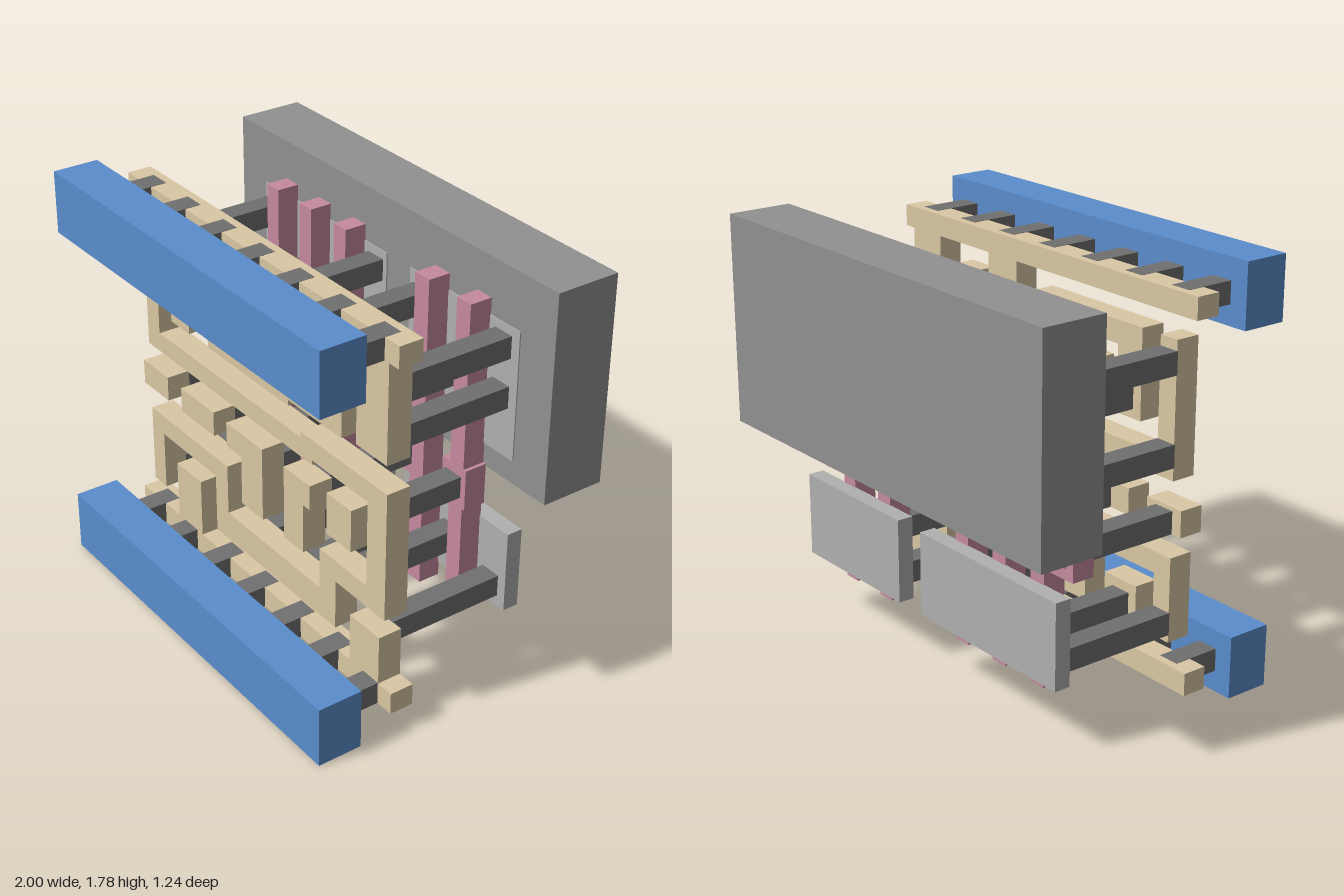
import * as THREE from 'three';

const mat = (color) => new THREE.MeshStandardMaterial({ color, flatShading: true });

export function createModel() {
  const root = new THREE.Group();
  const blue = mat(0x5a8dcd), tan = mat(0xdbc8a4), pink = mat(0xc58a9f);
  const dark = mat(0x707070), grey = mat(0x919191), pale = mat(0xb0b0b0);

  const layer = (name) => {
    const g = new THREE.Group();
    g.name = name;
    root.add(g);
    return g;
  };

  // Box given by its limits on each axis
  function block(parent, name, material, x0, x1, y0, y1, z0, z1) {
    const m = new THREE.Mesh(new THREE.BoxGeometry(x1 - x0, y1 - y0, z1 - z0), material);
    m.position.set((x0 + x1) / 2, (y0 + y1) / 2, (z0 + z1) / 2);
    m.name = name;
    parent.add(m);
  }

  // Flat outline in x and y, extruded from z0 to z1
  function plate(parent, name, material, outline, z0, z1) {
    const shape = new THREE.Shape(outline.map(([x, y]) => new THREE.Vector2(x, y)));
    const geo = new THREE.ExtrudeGeometry(shape, { depth: z1 - z0, bevelEnabled: false });
    geo.translate(0, 0, z0);
    const m = new THREE.Mesh(geo, material);
    m.name = name;
    parent.add(m);
  }

  // Back slab
  block(root, 'backSlab', grey, -1, 1, 0.86, 1.75, -0.62, -0.34);

  // Thin active plates: upper pair set in the slab, lower pair free
  const active = layer('activePlates');
  for (const [x0, x1] of [[-0.825, 0.015], [0.165, 0.815]]) {
    block(active, 'upperPlate', pale, x0, x1, 0.96, 1.515, -0.405, -0.335);
    block(active, 'lowerPlate', pale, x0, x1, 0.265, 0.625, -0.405, -0.335);
  }

  // Vertical gate strips, each with a wider pad: strip x0, x1, pad x0, x1
  const gates = layer('gateStrips');
  const strips = [
    [-0.675, -0.595, -0.84, -0.595], [-0.445, -0.365, -0.47, -0.335],
    [-0.21, -0.13, -0.21, -0.105], [0.315, 0.4, 0.24, 0.4], [0.565, 0.645, 0.52, 0.66],
  ];
  for (const [a, b, p, q] of strips) {
    plate(gates, 'gateStrip', pink, [
      [a, 0.2], [b, 0.2], [b, 0.69], [q, 0.69], [q, 0.87], [b, 0.87],
      [b, 1.585], [a, 1.585], [a, 0.87], [p, 0.87], [p, 0.69], [a, 0.69],
    ], -0.339, -0.24);
  }

  // Contact bars from the wiring back to the gates and plates
  const contacts = layer('contactBars');
  const bar = (x, y, z0) =>
    block(contacts, 'contactBar', dark, x - 0.047, x + 0.047, y - 0.047, y + 0.047, z0, 0.182);
  for (const x of [-0.755, -0.405, -0.13, 0.28, 0.585]) bar(x, 0.783, -0.341);
  const plateContacts = [
    [-0.755, 1.415], [-0.755, 1.05], [-0.52, 1.22], [-0.29, 1.22], [-0.055, 1.433],
    [0.235, 1.415], [0.475, 1.22], [0.725, 1.433], [0.725, 1.22],
    [-0.755, 0.36], [-0.52, 0.36], [-0.055, 0.36],
    [0.235, 0.37], [0.475, 0.448], [0.725, 0.36],
  ];
  for (const [x, y] of plateContacts) bar(x, y, -0.36);

  // Wiring layer
  const wiring = layer('wiring');
  const wire = (name, outline) => plate(wiring, name, tan, outline, 0.18, 0.285);
  wire('topStrap', [
    [-0.9, 1.69], [-0.9, 1.6], [0.145, 1.6], [0.145, 1.365], [0.325, 1.365], [0.325, 1.6],
    [0.655, 1.6], [0.655, 1.18], [0.84, 1.18], [0.84, 1.6], [0.895, 1.6], [0.895, 1.69],
  ]);
  wire('bottomStrap', [
    [-0.9, 0.09], [0.895, 0.09], [0.895, 0.185], [0.815, 0.185], [0.815, 0.4], [0.63, 0.4],
    [0.63, 0.185], [-0.425, 0.185], [-0.425, 0.45], [-0.61, 0.45], [-0.61, 0.185], [-0.9, 0.185],
  ]);
  wire('longWire', [
    [-0.8, 1.505], [-0.8, 0.95], [0.38, 0.95], [0.38, 0.97], [0.73, 0.97], [0.73, 0.595],
    [0.43, 0.595], [0.43, 0.41], [-0.215, 0.41], [-0.215, 0.635], [-0.8, 0.635], [-0.8, 0.28],
    [-0.71, 0.28], [-0.71, 0.545], [-0.305, 0.545], [-0.305, 0.28], [0.535, 0.28], [0.535, 0.5],
    [0.845, 0.5], [0.845, 1.06], [0.305, 1.06], [0.305, 1.035], [-0.71, 1.035], [-0.71, 1.505],
  ]);
  wire('upperHook', [
    [-0.61, 1.505], [-0.61, 1.135], [-0.475, 1.135], [-0.475, 1.41], [-0.145, 1.41],
    [-0.145, 1.39], [0.04, 1.39], [0.04, 1.505],
  ]);
  wire('innerHook', [
    [-0.335, 1.315], [-0.335, 1.135], [0.225, 1.135], [0.225, 1.16], [0.565, 1.16],
    [0.565, 1.5], [0.42, 1.5], [0.42, 1.27], [-0.205, 1.27], [-0.205, 1.315],
  ]);
  wire('padA', [[-0.85, 0.735], [-0.66, 0.735], [-0.66, 0.845], [-0.85, 0.845]]);
  wire('padB', [[-0.555, 0.735], [-0.31, 0.735], [-0.31, 0.845], [-0.555, 0.845]]);
  wire('padC', [
    [-0.215, 0.845], [-0.215, 0.735], [-0.11, 0.735], [-0.11, 0.515], [0.04, 0.515], [0.04, 0.845],
  ]);
  wire('padD', [
    [0.19, 0.845], [0.19, 0.515], [0.32, 0.515], [0.32, 0.735], [0.365, 0.735], [0.365, 0.845],
  ]);
  wire('padE', [[0.475, 0.69], [0.63, 0.69], [0.63, 0.875], [0.475, 0.875]]);

  // Front rails with seven short links back to each strap
  const rails = layer('rails');
  for (const [y0, y1, v0, v1] of [[0, 0.265, 0.089, 0.186], [1.515, 1.78, 1.599, 1.691]]) {
    block(rails, 'rail', blue, -0.9, 0.895, y0, y1, 0.425, 0.62);
    for (let i = 0; i < 7; i++) {
      const x = -0.77 + i * 0.256;
      block(rails, 'railLink', dark, x - 0.047, x + 0.047, v0, v1, 0.215, 0.426);
    }
  }
  return root;
}
